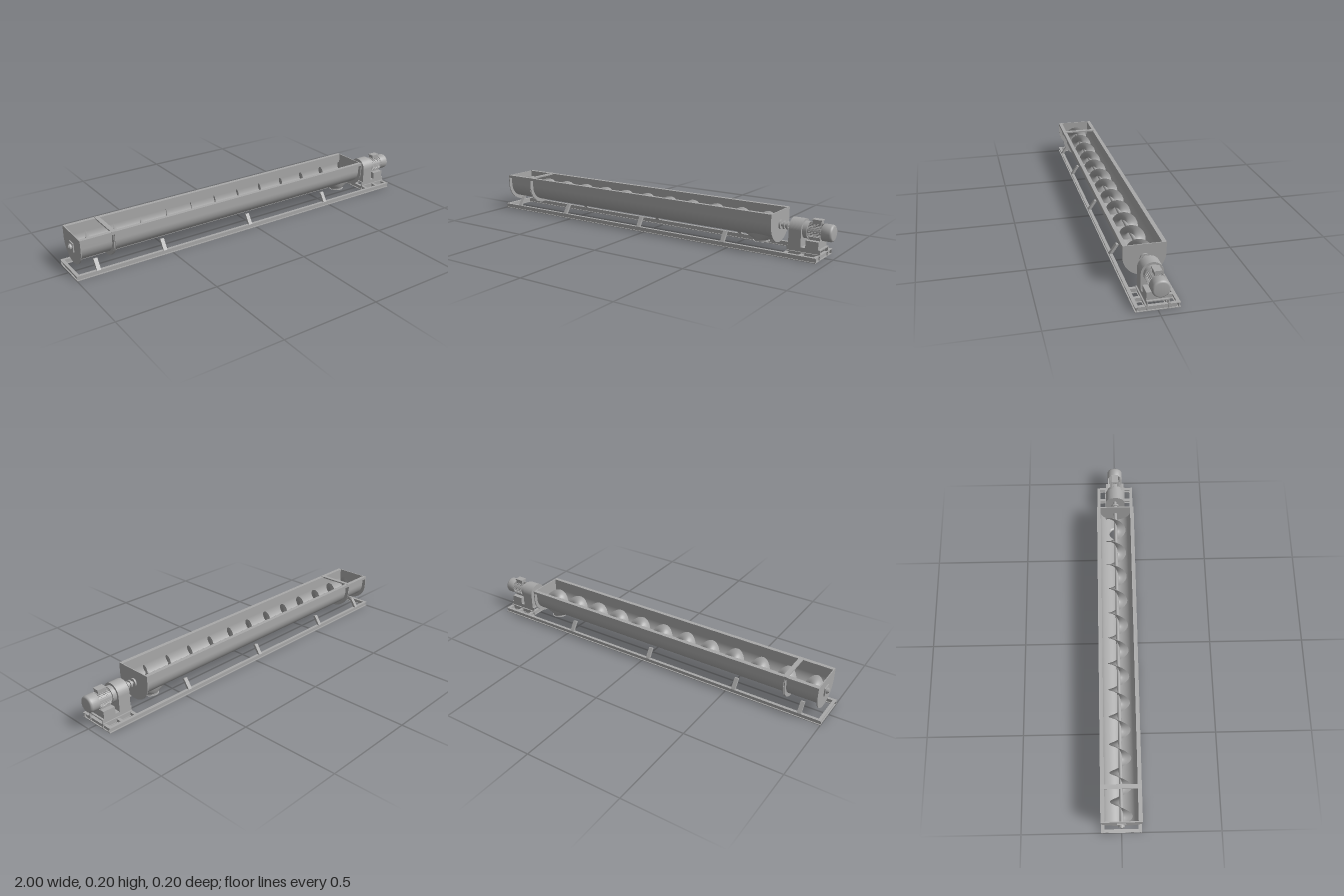
import * as THREE from 'three';

const steel = new THREE.MeshStandardMaterial({ color: 0xa8a8a8, side: THREE.DoubleSide });
steel.name = 'grey steel';

const CY = 0.145, TOP = 0.197;         // trough arc centre and rim height
const AXIS = 0.13, MOTOR = 0.125;      // screw and motor axis heights
const X0 = -0.965, X1 = 0.725;         // trough ends
const OUT = { x: 0.635, r: 0.037 };    // discharge opening

export function createModel() {
  const root = new THREE.Group();
  root.name = 'screwConveyor';

  const add = (name, geo, x = 0, y = 0, z = 0, parent = root) => {
    const m = new THREE.Mesh(geo, steel);
    m.name = name;
    m.position.set(x, y, z);
    parent.add(m);
    return m;
  };
  // box given by its min and max corners
  const box = (name, x0, x1, y0, y1, z0, z1) =>
    add(name, new THREE.BoxGeometry(x1 - x0, y1 - y0, z1 - z0), (x0 + x1) / 2, (y0 + y1) / 2, (z0 + z1) / 2);
  // cylinder lying along x
  const rod = (name, x0, x1, y, r, z = 0, seg = 32) =>
    add(name, new THREE.CylinderGeometry(r, r, x1 - x0, seg).rotateZ(Math.PI / 2), (x0 + x1) / 2, y, z);
  // extrude a (z, y) outline along x
  const plate = (name, shape, x, t) =>
    add(name, new THREE.ExtrudeGeometry(shape, { depth: t, bevelEnabled: false, curveSegments: 32 }).rotateY(Math.PI / 2), x);
  // surface from a grid of points
  const grid = (name, nu, nv, fn) => {
    const pos = [], idx = [];
    for (let i = 0; i <= nu; i++) for (let j = 0; j <= nv; j++) {
      pos.push(...fn(i, j));
      if (i < nu && j < nv) {
        const a = i * (nv + 1) + j, b = a + nv + 1;
        idx.push(a, b, a + 1, b, b + 1, a + 1);
      }
    }
    const g = new THREE.BufferGeometry();
    g.setAttribute('position', new THREE.Float32BufferAttribute(pos, 3));
    g.setIndex(idx);
    g.computeVertexNormals();
    return add(name, g);
  };
  const uPath = (path, r) => {
    path.moveTo(-r, TOP);
    path.lineTo(-r, CY);
    path.absarc(0, CY, r, Math.PI, 2 * Math.PI, false);
    path.lineTo(r, TOP);
    path.closePath();
    return path;
  };

  // Trough halves, leaving a round discharge opening in the bottom
  const R = 0.082, xs = [X0, -0.8, -0.4, 0, 0.4];
  for (let k = 0; k <= 24; k++) xs.push(OUT.x - OUT.r * Math.cos(Math.PI * k / 24));
  xs.push(X1);
  for (const s of [-1, 1]) {
    grid(s > 0 ? 'troughFrontWall' : 'troughBackWall', xs.length - 1, 25, (i, j) => {
      const x = xs[i];
      if (j === 25) return [x, TOP, s * R];
      const half = Math.sqrt(Math.max(0, OUT.r ** 2 - (x - OUT.x) ** 2));
      const a0 = Math.asin(half / R), a = a0 + (Math.PI / 2 - a0) * j / 24;
      return [x, CY - R * Math.cos(a), s * R * Math.sin(a)];
    });
    // Rim angle
    const z = s * 0.091;
    box('rimLip', X0, X1, TOP - 0.004, TOP, z - 0.01, z + 0.01);
    box('rimEdge', X0, X1, TOP - 0.014, TOP, s * 0.0995 - 0.0015, s * 0.0995 + 0.0015);
  }

  // End plates and bolted joint flanges
  const endShape = uPath(new THREE.Shape(), 0.101);
  plate('tailEndPlate', endShape, X0 - 0.005, 0.005);
  plate('driveEndPlate', endShape, X1, 0.005);
  const ring = new THREE.Shape();
  ring.moveTo(-0.101, TOP);
  ring.lineTo(-0.101, CY);
  ring.absarc(0, CY, 0.101, Math.PI, 2 * Math.PI, false);
  ring.lineTo(0.101, TOP);
  ring.lineTo(R, TOP);
  ring.lineTo(R, CY);
  ring.absarc(0, CY, R, 2 * Math.PI, Math.PI, true);
  ring.lineTo(-R, TOP);
  ring.closePath();
  for (const x of [-0.806, -0.799]) plate('jointFlange', ring, x, 0.004);
  box('crossBar', -0.812, -0.79, TOP - 0.006, TOP + 0.001, -0.1, 0.1);

  // Screw flight and shaft
  const turns = 12, per = 32, pitch = 0.1415;
  grid('screwFlight', turns * per - 8, 3, (i, j) => {
    const x = X0 + 0.004 + i * pitch / per;
    const a = 2 * Math.PI * (x + 0.864) / pitch + Math.PI;
    const r = 0.008 + (0.055 - 0.008) * j / 3;
    return [x, AXIS + r * Math.sin(a), r * Math.cos(a)];
  });
  rod('screwShaft', -0.99, 0.8, AXIS, 0.009, 0, 20);

  // Tail bearing
  box('tailBearingPlate', -0.976, -0.97, AXIS - 0.022, AXIS + 0.022, -0.022, 0.022);
  rod('tailBearing', -0.986, -0.976, AXIS, 0.015);

  // Discharge cone and flange: wide where it meets the trough, narrow below
  grid('dischargeCone', 48, 6, (i, j) => {
    const a = 2 * Math.PI * i / 48, t = j / 6;
    const rx = 0.037 + 0.048 * t, rz = 0.037 + 0.013 * t;
    const z = rz * Math.sin(a), yTop = CY - Math.sqrt(R * R - z * z);
    return [OUT.x + rx * Math.cos(a), 0.045 + (yTop - 0.045) * t, z];
  });
  add('dischargeSpout', new THREE.CylinderGeometry(0.036, 0.036, 0.01, 40, 1, true), OUT.x, 0.041, 0);
  add('dischargeFlange', new THREE.RingGeometry(0.036, 0.041, 40).rotateX(-Math.PI / 2), OUT.x, 0.037, 0);

  // Base frame of I-section beams
  const beam = (name, x0, x1, z0, z1, alongX) => {
    const t = 0.003, xm = (x0 + x1) / 2, zm = (z0 + z1) / 2;
    box(name + 'LowerFlange', x0, x1, 0, t, z0, z1);
    box(name + 'UpperFlange', x0, x1, 0.021, 0.024, z0, z1);
    if (alongX) box(name + 'Web', x0, x1, t, 0.021, zm - 0.002, zm + 0.002);
    else box(name + 'Web', xm - 0.002, xm + 0.002, t, 0.021, z0, z1);
  };
  for (const s of [-1, 1]) {
    beam('sideRail', -1, 0.955, s * 0.093 - 0.008, s * 0.093 + 0.008, true);
    beam('motorRail', 0.79, 0.955, s * 0.048 - 0.006, s * 0.048 + 0.006, true);
  }
  for (const x of [-0.992, 0.797, 0.875, 0.947]) beam('crossBeam', x - 0.008, x + 0.008, -0.086, 0.086, false);

  // Slanted trough legs
  const leg = new THREE.Shape();
  [[-0.101, 0.024], [-0.086, 0.024], [-0.056, 0.069], [-0.068, 0.073]]
    .forEach(([z, y], i) => (i ? leg.lineTo(z, y) : leg.moveTo(z, y)));
  for (const x of [-0.89, -0.54, -0.035, 0.47]) {
    plate('frontLeg', leg, x - 0.01, 0.02);
    plate('backLeg', leg, x + 0.01, 0.02).rotation.y = Math.PI;
  }

  // Drive bed: a tray on two side plates
  box('driveBed', 0.79, 0.955, 0.044, 0.049, -0.05, 0.05);
  for (const s of [-1, 1]) {
    box('bedSide', 0.79, 0.955, 0.026, 0.046, s * 0.047 - 0.002, s * 0.047 + 0.002);
    box('bedFoot', 0.79, 0.955, 0.024, 0.028, s * 0.05 - 0.006, s * 0.05 + 0.006);
  }

  // Gearbox with a rounded top
  const gear = new THREE.Shape();
  gear.moveTo(-0.052, 0.049);
  gear.lineTo(0.052, 0.049);
  gear.lineTo(0.052, MOTOR);
  gear.absarc(0, MOTOR, 0.052, 0, Math.PI, false);
  gear.closePath();
  plate('gearbox', gear, 0.797, 0.062);

  // Coupling
  rod('endSeal', 0.73, 0.738, AXIS, 0.022);
  rod('couplingHalf', 0.75, 0.759, AXIS, 0.02);
  rod('couplingHalf', 0.768, 0.777, AXIS, 0.02);
  rod('couplingCore', 0.757, 0.77, AXIS, 0.013);

  // Motor with fins, fan cover, terminal box and pedestal
  rod('motorFlange', 0.859, 0.88, MOTOR, 0.041);
  rod('motorBody', 0.88, 0.955, MOTOR, 0.034);
  for (let i = 0; i < 28; i++) {
    const a = 2 * Math.PI * i / 28;
    const fin = add('coolingFin', new THREE.BoxGeometry(0.07, 0.006, 0.002), 0.917,
      MOTOR + 0.036 * Math.cos(a), 0.036 * Math.sin(a));
    fin.rotation.x = a;
  }
  const cover = [[0, 0.05], [0.032, 0.05], [0.038, 0.046], [0.041, 0.039], [0.041, 0], [0.03, 0]]
    .map(([r, h]) => new THREE.Vector2(r, h));
  add('fanCover', new THREE.LatheGeometry(cover, 36).rotateZ(-Math.PI / 2), 0.95, MOTOR, 0);
  box('terminalBox', 0.898, 0.94, 0.155, 0.176, -0.014, 0.014);
  box('terminalLid', 0.895, 0.943, 0.176, 0.182, -0.018, 0.018);
  box('motorPedestal', 0.882, 0.945, 0.049, 0.086, -0.05, 0.05);
  box('motorFoot', 0.885, 0.942, 0.086, 0.1, -0.026, 0.026);

  return root;
}
